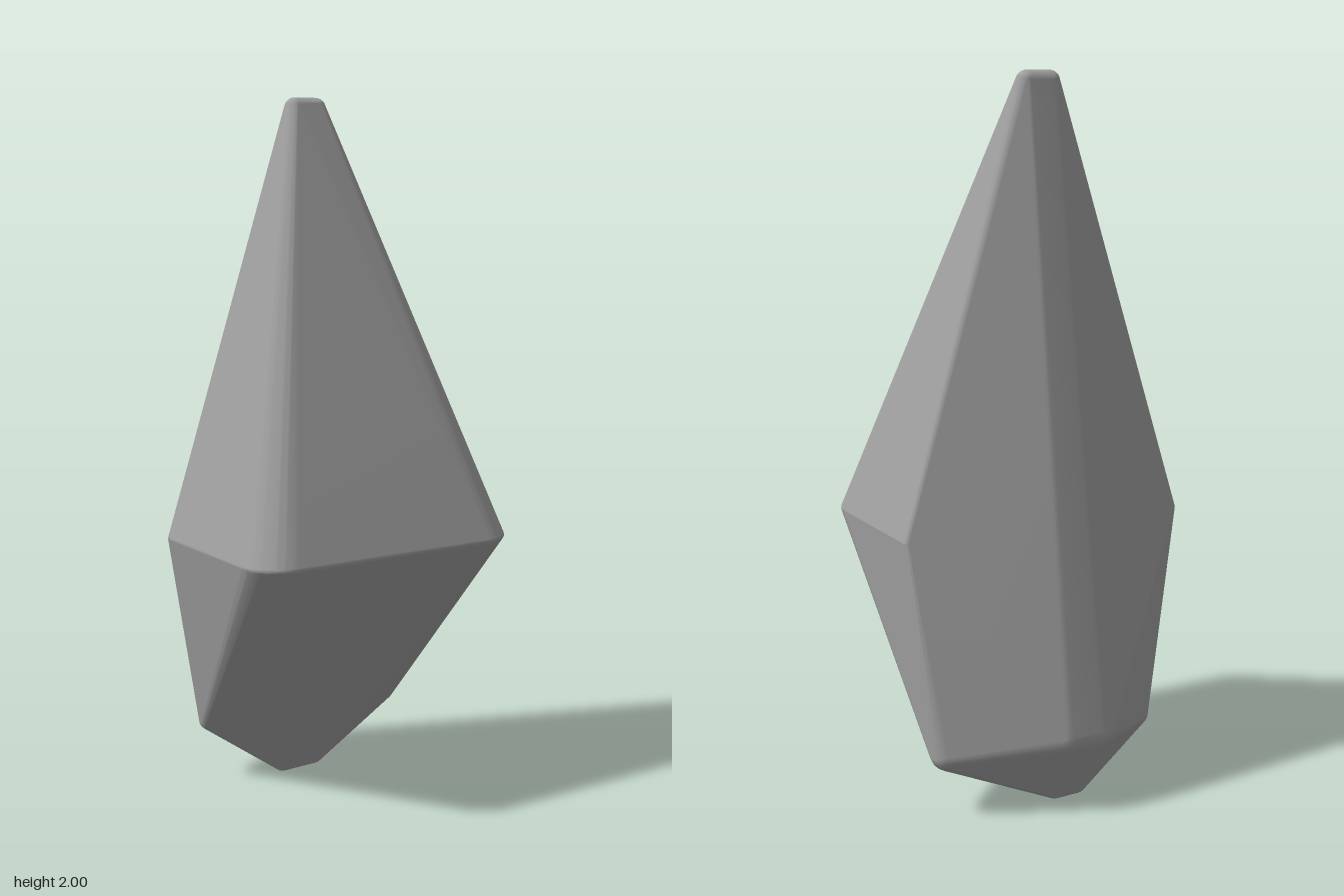
import * as THREE from 'three';
import { ConvexGeometry } from 'three/addons/geometries/ConvexGeometry.js';
import { mergeVertices } from 'three/addons/utils/BufferGeometryUtils.js';

// Evenly spread directions, used to round every corner of the crystal
function sphereDirections(count) {
  const dirs = [];
  for (let i = 0; i < count; i++) {
    const y = 1 - (2 * i + 1) / count;
    const r = Math.sqrt(1 - y * y);
    const a = i * 2.399963;
    dirs.push(new THREE.Vector3(r * Math.cos(a), y, r * Math.sin(a)));
  }
  return dirs;
}

export function createModel() {
  const group = new THREE.Group();
  group.name = 'crystal';
  const stone = new THREE.MeshStandardMaterial({ color: 0xa0a0a0 });
  stone.name = 'grey stone';

  // Corner spheres: x, y, z, radius
  const corners = [
    // blunt tip
    [-0.14, 1.97, -0.09, 0.03], [-0.09, 1.97, -0.14, 0.03],
    // sharp waist corners
    [-0.457, 0.765, 0.125, 0.015], [0.16, 0.765, -0.437, 0.015],
    // lower side corners
    [-0.395, 0.18, -0.02, 0.03], [0.06, 0.18, -0.425, 0.05],
    // rounded lower back
    [-0.235, 0.22, -0.31, 0.07], [-0.3, 0.22, -0.25, 0.07],
    // small flat foot
    [-0.19, 0.03, -0.11, 0.03], [-0.11, 0.03, -0.19, 0.03],
    [-0.25, 0.03, -0.2, 0.03], [-0.2, 0.03, -0.25, 0.03],
  ];
  // Broad rounded waist corners, front and right
  const arc = (cx, cz, start, end) => {
    for (let i = 0; i <= 8; i++) {
      const a = start + (end - start) * i / 8;
      corners.push([cx + 0.095 * Math.cos(a), 0.765, cz + 0.095 * Math.sin(a), 0.015]);
    }
  };
  arc(-0.11, 0.36, Math.PI * 0.25, Math.PI * 0.76);
  arc(0.36, -0.07, -Math.PI * 0.26, Math.PI * 0.25);

  const dirs = sphereDirections(180);
  const points = [];
  for (const [x, y, z, r] of corners) {
    for (const d of dirs) points.push(new THREE.Vector3(x, y, z).addScaledVector(d, r));
  }

  // Shared vertices give smooth bevels between the broad flat facets
  let geometry = new ConvexGeometry(points);
  geometry.deleteAttribute('normal');
  geometry = mergeVertices(geometry, 1e-5);
  geometry.computeVertexNormals();

  const body = new THREE.Mesh(geometry, stone);
  body.name = 'crystalBody';
  group.add(body);
  return group;
}
